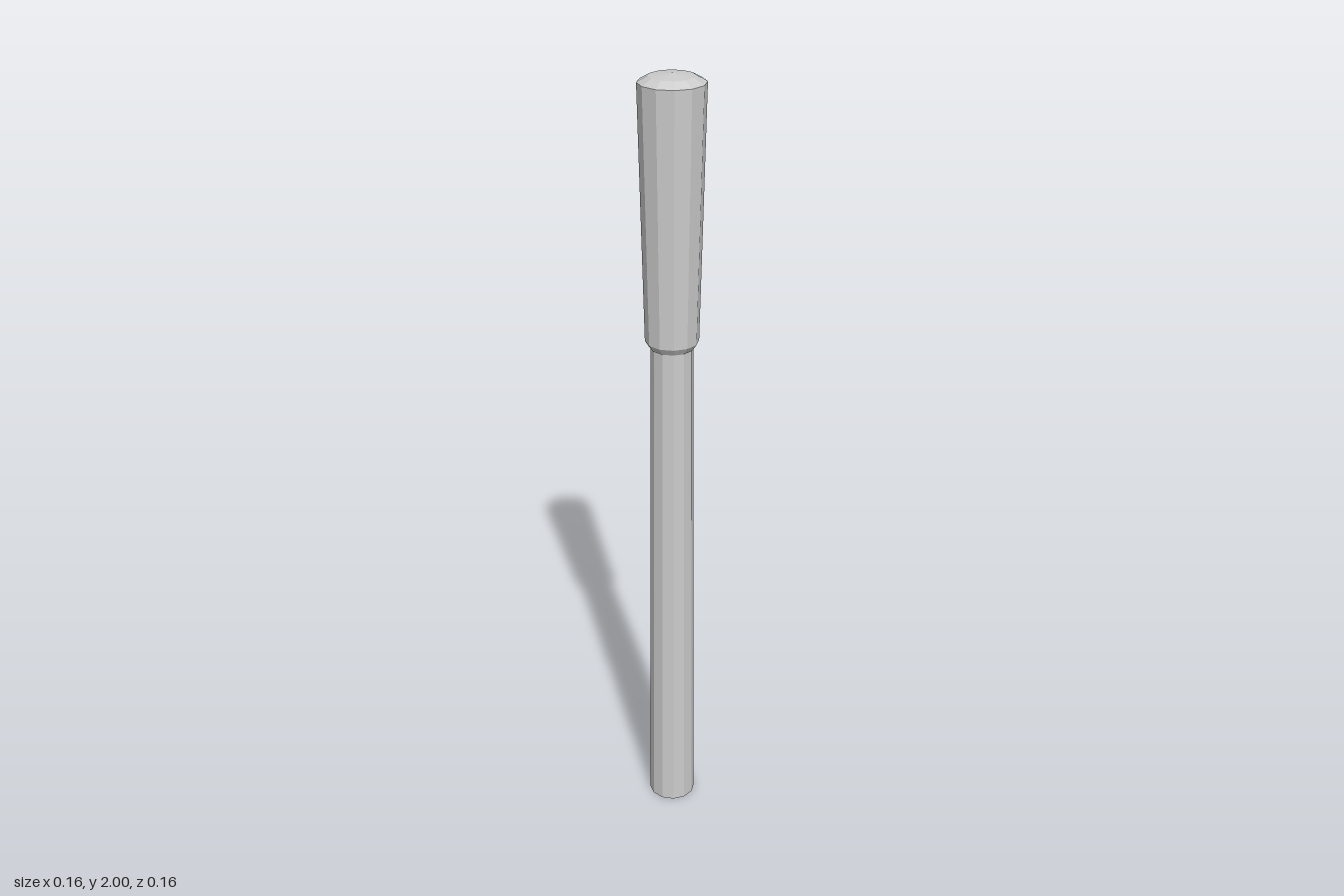
import * as THREE from 'three';

const SIDES = 12;

// Faceted turned part from a bottom-to-top [radius, height] profile
function turned(name, profile) {
  const points = profile.map(([r, y]) => new THREE.Vector2(r, y));
  const material = new THREE.MeshStandardMaterial({ color: 0xcccccc, flatShading: true });
  const mesh = new THREE.Mesh(new THREE.LatheGeometry(points, SIDES), material);
  mesh.name = name;
  return mesh;
}

export function createModel() {
  const group = new THREE.Group();
  group.name = 'handledRod';

  // Slim shaft, slightly wider at the foot, closed underneath
  group.add(turned('shaft', [[0, 0], [0.061, 0], [0.052, 1.34], [0, 1.34]]));

  // Flared grip with a chamfered lower rim and a shallow domed cap
  group.add(turned('grip', [
    [0, 1.335], [0.055, 1.335], [0.066, 1.352], [0.081, 1.98], [0.055, 1.994], [0, 2],
  ]));

  return group;
}
